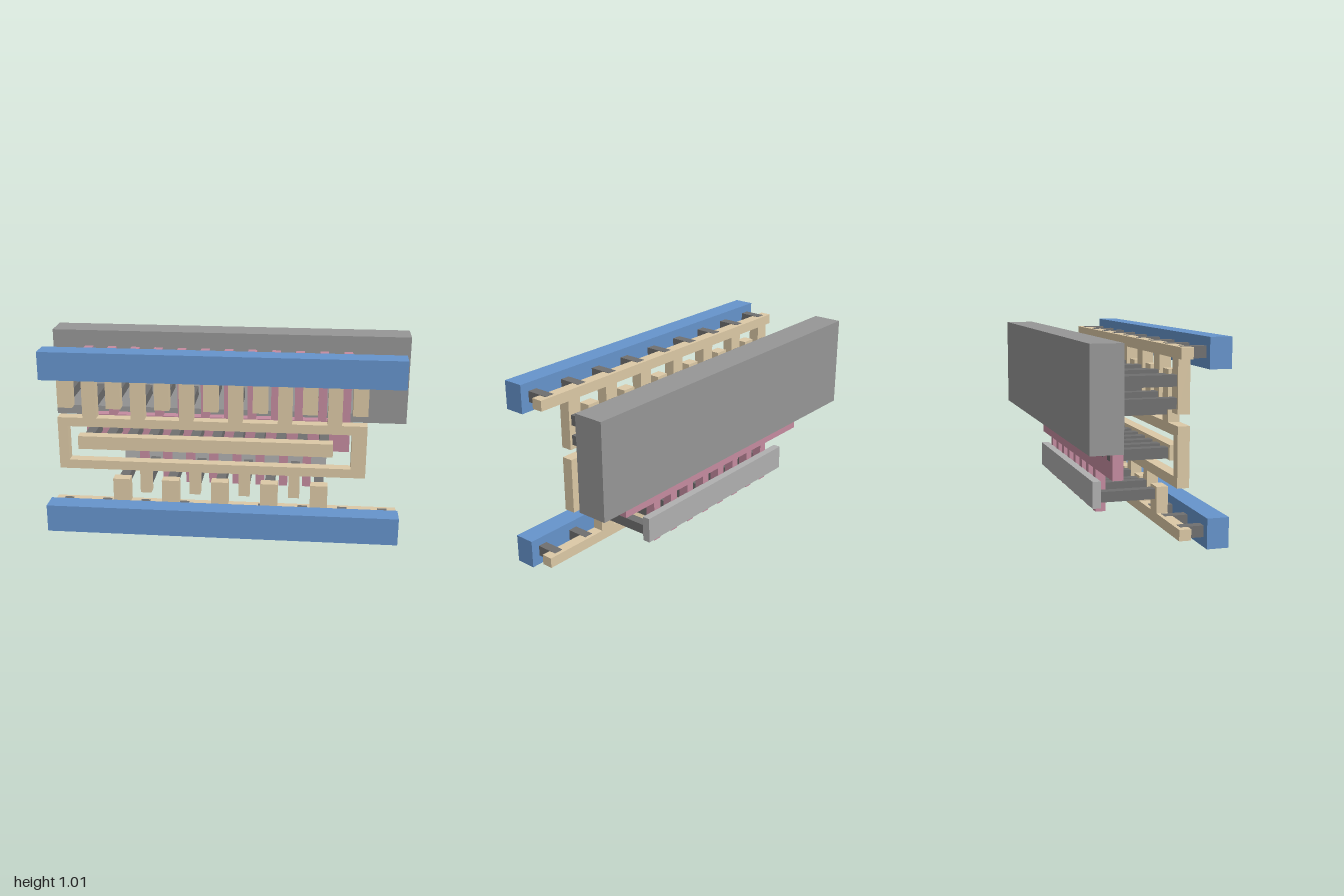
import * as THREE from 'three';

const material = (color) => new THREE.MeshStandardMaterial({ color });
const materials = {
  well: material(0x969696),
  diffusion: material(0xb0b0b0),
  gate: material(0xc58ca0),
  contact: material(0x707070),
  lowerMetal: material(0xdcc9a6),
  upperMetal: material(0x6694cc),
};

// Evenly spaced positions from first to last
const row = (first, last, count) =>
  Array.from({ length: count }, (_, i) => first + ((last - first) * i) / (count - 1));

// Corner points of fingers standing on an edge, in the order of the given centres
function fingers(centres, width, base, tip) {
  const h = (Math.sign(centres[1] - centres[0]) * width) / 2;
  return centres.flatMap((x) => [[x - h, base], [x - h, tip], [x + h, tip], [x + h, base]]);
}

export function createModel() {
  const model = new THREE.Group();

  function box(name, mat, x0, x1, y0, y1, z0, z1) {
    const mesh = new THREE.Mesh(new THREE.BoxGeometry(x1 - x0, y1 - y0, z1 - z0), mat);
    mesh.position.set((x0 + x1) / 2, (y0 + y1) / 2, (z0 + z1) / 2);
    mesh.name = name;
    model.add(mesh);
  }

  // Flat plate with an outline in x and y, optionally with a rectangular hole
  function plate(name, mat, outline, z0, z1, hole) {
    const toVectors = (points) => points.map(([x, y]) => new THREE.Vector2(x, y));
    const shape = new THREE.Shape(toVectors(outline));
    if (hole) shape.holes.push(new THREE.Path(toVectors(hole)));
    const geometry = new THREE.ExtrudeGeometry(shape, { depth: z1 - z0, bevelEnabled: false });
    const mesh = new THREE.Mesh(geometry, mat);
    mesh.position.z = z0;
    mesh.name = name;
    model.add(mesh);
  }

  // Row of square posts running in z
  function posts(name, centres, y0, y1, z0, z1) {
    for (const x of centres) box(name, materials.contact, x - 0.026, x + 0.026, y0, y1, z0, z1);
  }

  const upper = row(-0.86, 0.725, 13);
  const lower = row(-0.564, 0.52, 9);
  const even = (list) => list.filter((_, i) => i % 2 === 0);
  const odd = (list) => list.filter((_, i) => i % 2 === 1);

  // Back layers: well and the two diffusion strips
  box('well', materials.well, -1, 1, 0.49, 0.99, -0.35, -0.19);
  box('upperDiffusion', materials.diffusion, -0.9, 0.765, 0.545, 0.86, -0.23, -0.186);
  box('lowerDiffusion', materials.diffusion, -0.61, 0.56, 0.15, 0.285, -0.23, -0.188);

  // Gate plate: a bar with fingers up and down
  plate('gate', materials.gate, [
    [-0.818, 0.33],
    ...fingers(row(-0.49, 0.45, 8), 0.048, 0.33, 0.11),
    [0.685, 0.33], [0.685, 0.9], [0.637, 0.9], [0.637, 0.512],
    ...fingers(row(-0.793, 0.661, 12).slice(1, -1).reverse(), 0.048, 0.512, 0.9),
    [-0.77, 0.512], [-0.77, 0.9], [-0.818, 0.9],
  ], -0.19, -0.137);

  // Output ring with fingers above and below
  plate('ring', materials.lowerMetal, [
    [-0.904, 0.295],
    ...fingers(odd(lower), 0.06, 0.295, 0.165),
    [0.765, 0.295], [0.765, 0.59],
    ...fingers(odd(upper).reverse(), 0.076, 0.59, 0.845),
    [-0.904, 0.59],
  ], 0.1, 0.16, [[-0.85, 0.345], [-0.85, 0.54], [0.685, 0.54], [0.685, 0.345]]);
  box('inputBar', materials.lowerMetal, -0.797, 0.588, 0.41, 0.484, 0.1, 0.16);

  // Comb rails at the top and bottom
  plate('topComb', materials.lowerMetal, [
    [-0.94, 0.905], ...fingers(even(upper), 0.08, 0.905, 0.645),
    [0.94, 0.905], [0.94, 0.96], [-0.94, 0.96],
  ], 0.1, 0.16);
  plate('bottomComb', materials.lowerMetal, [
    [-0.94, 0.05], [0.94, 0.05], [0.94, 0.105],
    ...fingers(even(lower).reverse(), 0.094, 0.105, 0.24), [-0.94, 0.105],
  ], 0.1, 0.16);

  // Contact posts between the back layers and the combs
  posts('topCombContact', even(upper), 0.775, 0.83, -0.19, 0.1);
  posts('topCombContact', even(upper), 0.67, 0.722, -0.19, 0.1);
  posts('ringUpperContact', odd(upper), 0.765, 0.82, -0.19, 0.1);
  posts('ringUpperContact', odd(upper), 0.627, 0.68, -0.19, 0.1);
  posts('ringLowerContact', odd(lower), 0.19, 0.243, -0.19, 0.1);
  posts('bottomCombContact', even(lower), 0.174, 0.227, -0.19, 0.1);
  posts('gateContact', row(-0.75, 0.54, 12), 0.416, 0.47, -0.191, 0.1);

  // Front rails and the posts that carry them
  for (const [name, y] of [['bottom', 0], ['top', 0.856]]) {
    posts(name + 'RailPost', row(-0.87, 0.866, 9), y + 0.049, y + 0.106, 0.12, 0.24);
    box(name + 'Rail', materials.upperMetal, -0.94, 0.94, y, y + 0.15, 0.24, 0.35);
  }

  return model;
}
